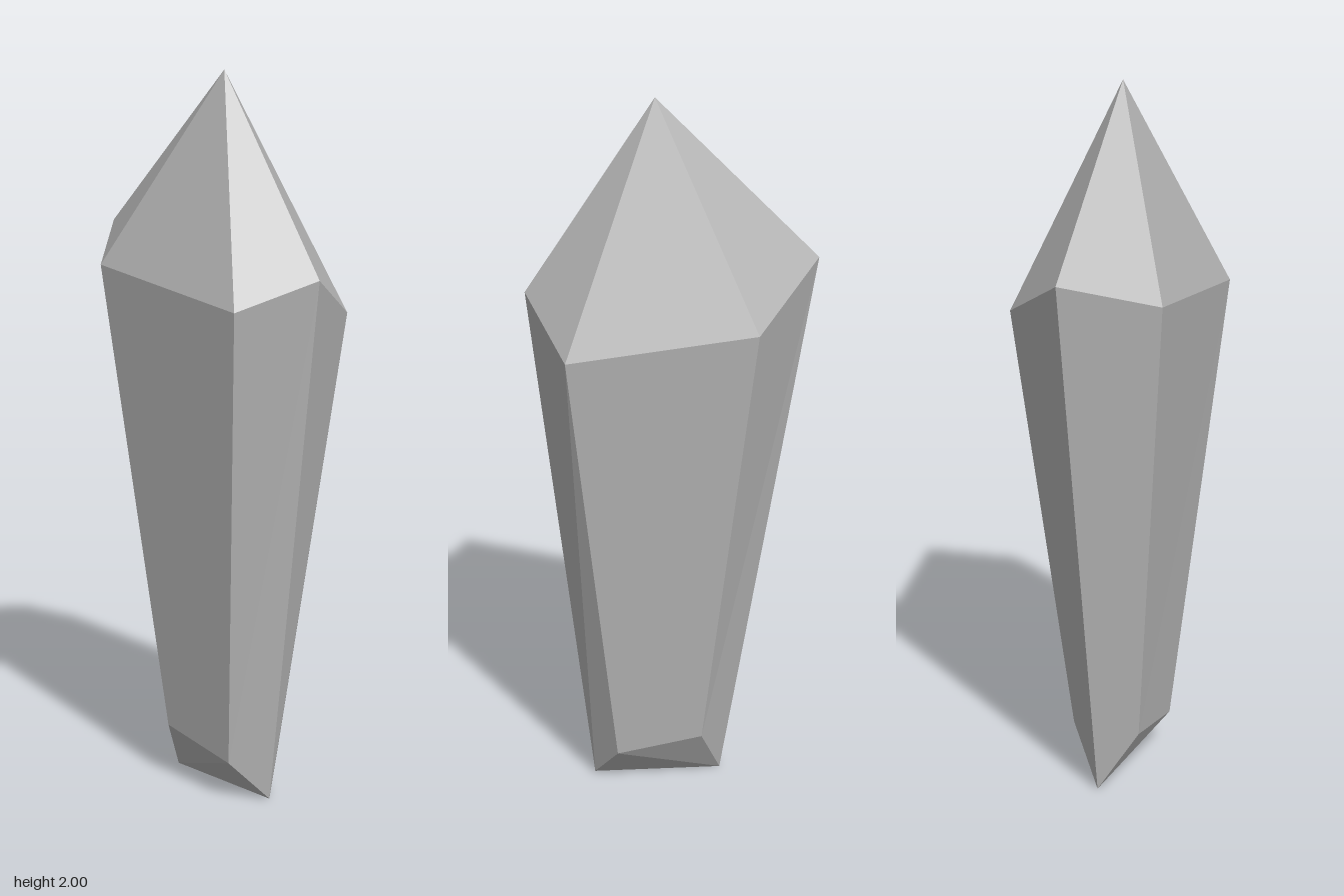
import * as THREE from 'three';

export function createModel() {
  const stone = new THREE.MeshStandardMaterial({ color: 0xb4b4b4 });
  stone.name = 'grey crystal';
  stone.flatShading = true;

  // Rings run back-left-side, left, front pair, right, back-right-side
  const apex = [0.045, 2, 0];
  const upper = [
    [0.296, 1.36, -0.215], [0.391, 1.485, 0], [0.296, 1.417, 0.215],
    [-0.208, 1.48, 0.215], [-0.391, 1.56, 0], [-0.208, 1.42, -0.215],
  ];
  const lower = [
    [0.165, 0.12, -0.1], [0.226, 0.003, 0], [0.165, 0.12, 0.1],
    [-0.075, 0.165, 0.1], [-0.138, 0, 0], [-0.075, 0.165, -0.1],
  ];
  const n = upper.length;

  const tip = [], shaft = [], base = [];
  for (let i = 0; i < n; i++) {
    const j = (i + 1) % n;
    tip.push(apex, upper[j], upper[i]);
    shaft.push(upper[i], upper[j], lower[j], upper[i], lower[j], lower[i]);
  }
  // The underside folds along a keel, fanned from its right end
  for (let k = 1; k < n - 1; k++) base.push(lower[4], lower[(4 + k) % n], lower[(5 + k) % n]);

  const group = new THREE.Group();
  group.name = 'crystal';
  const addPart = (name, corners) => {
    const geometry = new THREE.BufferGeometry();
    geometry.setAttribute('position', new THREE.Float32BufferAttribute(corners.flat(), 3));
    geometry.computeVertexNormals();
    const mesh = new THREE.Mesh(geometry, stone);
    mesh.name = name;
    group.add(mesh);
  };
  addPart('crystalTip', tip);
  addPart('crystalShaft', shaft);
  addPart('crystalBase', base);
  return group;
}
